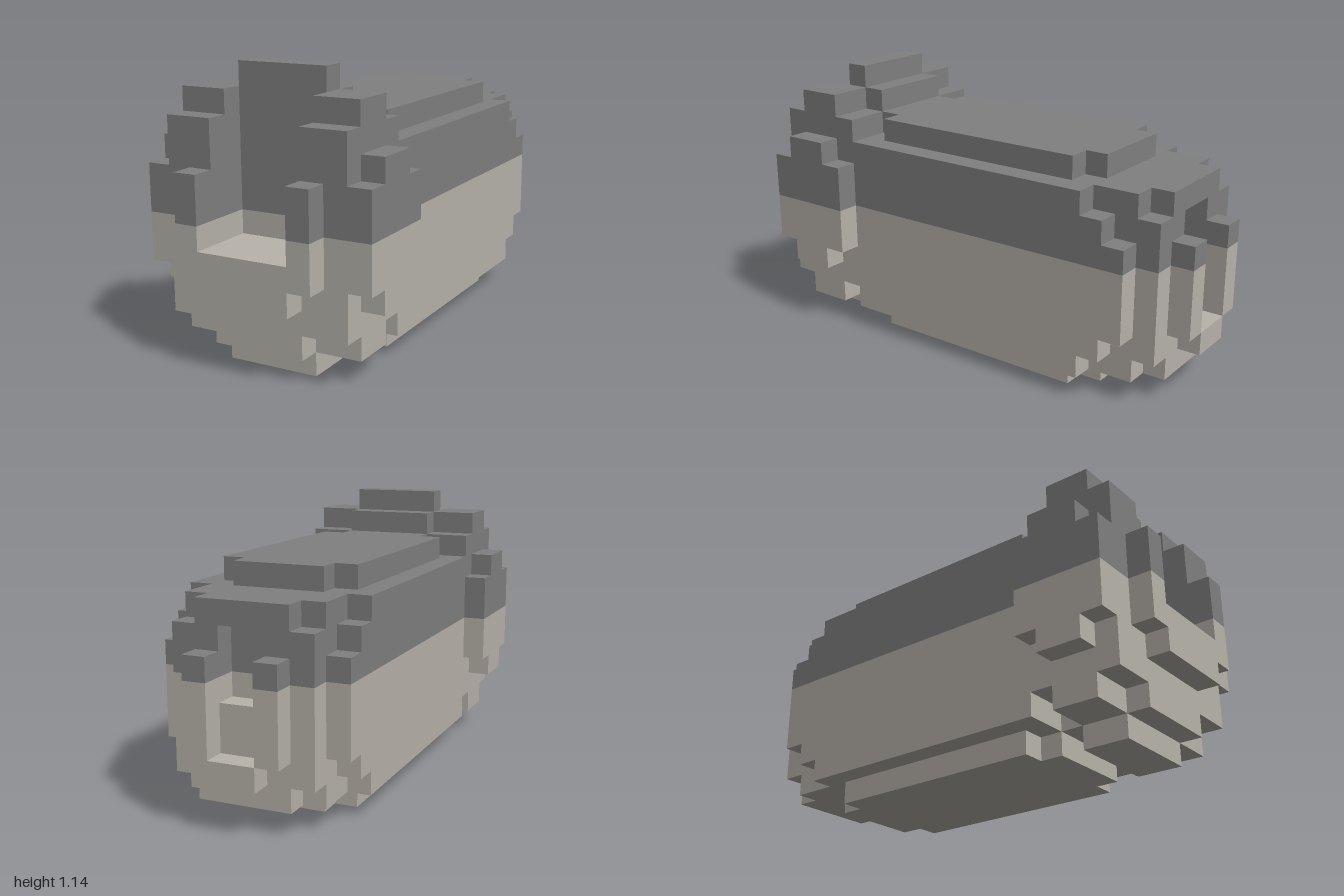
import * as THREE from 'three';

const U = 2 / 21;   // size of one block
const SPLIT = 6;    // height (in blocks) where the light underside meets the dark top

export function createModel() {
  const model = new THREE.Group();
  model.name = 'blockCapsule';
  const darkGrey = new THREE.MeshStandardMaterial({ color: 0x808080 });
  darkGrey.name = 'darkGrey';
  const warmGrey = new THREE.MeshStandardMaterial({ color: 0xb8b4ab });
  warmGrey.name = 'warmGrey';

  function part(name) {
    const g = new THREE.Group();
    g.name = name;
    model.add(g);
    return g;
  }

  function box(group, name, x0, x1, y0, y1, z0, z1, material) {
    const geo = new THREE.BoxGeometry((x1 - x0) * U, (y1 - y0) * U, (z1 - z0) * U);
    const mesh = new THREE.Mesh(geo, material);
    mesh.position.set((x0 + x1) / 2 * U, (y0 + y1) / 2 * U, (z0 + z1) / 2 * U);
    mesh.name = name;
    group.add(mesh);
  }

  // A block in grid units, cut into light and dark halves at the split height
  function block(group, x0, x1, y0, y1, z0, z1) {
    const n = group.name;
    if (y0 < SPLIT) box(group, n + 'Lower', x0, x1, y0, Math.min(y1, SPLIT), z0, z1, warmGrey);
    if (y1 > SPLIT) box(group, n + 'Upper', x0, x1, Math.max(y0, SPLIT), y1, z0, z1, darkGrey);
  }
  const centre = (g, half, ...r) => block(g, -half, half, ...r);
  const pair = (g, x0, x1, ...r) => {
    block(g, x0, x1, ...r);
    block(g, -x1, -x0, ...r);
  };

  // Long body
  const body = part('body');
  centre(body, 4, 1, 9, -6.5, 5.5);

  // Raised plates on the roof and the belly
  for (const [name, y] of [['roofPlate', 9], ['bellyPlate', 0]]) {
    const plate = part(name);
    centre(plate, 3, y, y + 1, -5.5, 4.5);
    centre(plate, 2, y, y + 1, -6.5, -5.5);
    centre(plate, 2, y, y + 1, 4.5, 5.5);
  }

  // Wide stepped collar behind the front slot
  const collar = part('collar');
  centre(collar, 5, 4, 8, 5.5, 6.5);
  centre(collar, 4, 2, 10, 5.5, 6.5);
  centre(collar, 2, 1, 11, 5.5, 6.5);
  centre(collar, 5, 3, 9, 6.5, 7.5);
  centre(collar, 4, 1, 11, 6.5, 7.5);
  centre(collar, 2, 0, 12, 6.5, 7.5);

  // Front cheeks on both sides of the slot
  const cheeks = part('frontCheeks');
  pair(cheeks, 2, 5, 3, 9, 7.5, 8.5);
  pair(cheeks, 2, 4, 1, 11, 7.5, 8.5);
  pair(cheeks, 2, 5, 4, 8, 8.5, 9.5);
  pair(cheeks, 2, 4, 2, 10, 8.5, 9.5);
  pair(cheeks, 2, 3, 4, 8, 9.5, 10.5);

  // Floor of the front slot
  const sill = part('frontSill');
  centre(sill, 2, 0, 5, 7.5, 8.5);
  centre(sill, 2, 1, 5, 8.5, 9.5);
  centre(sill, 2, 3, 5, 9.5, 10.5);

  // Stepped, rounded rear end
  const tail = part('tail');
  centre(tail, 4, 2, 8, -7.5, -6.5);
  centre(tail, 4, 3, 7, -8.5, -7.5);
  centre(tail, 3, 1, 9, -8.5, -6.5);

  // Rear cap with a recess in the middle
  const cap = part('rearCap');
  pair(cap, 2, 3, 2, 8, -9.5, -8.5);
  pair(cap, 1, 2, 1, 9, -9.5, -8.5);
  centre(cap, 1, 1, 5, -9.5, -8.5);
  centre(cap, 1, 8, 9, -9.5, -8.5);

  // Bracket around the recess
  const bracket = part('rearBracket');
  pair(bracket, 1, 2, 3, 7, -10.5, -9.5);
  centre(bracket, 1, 2, 3, -10.5, -9.5);

  return model;
}
